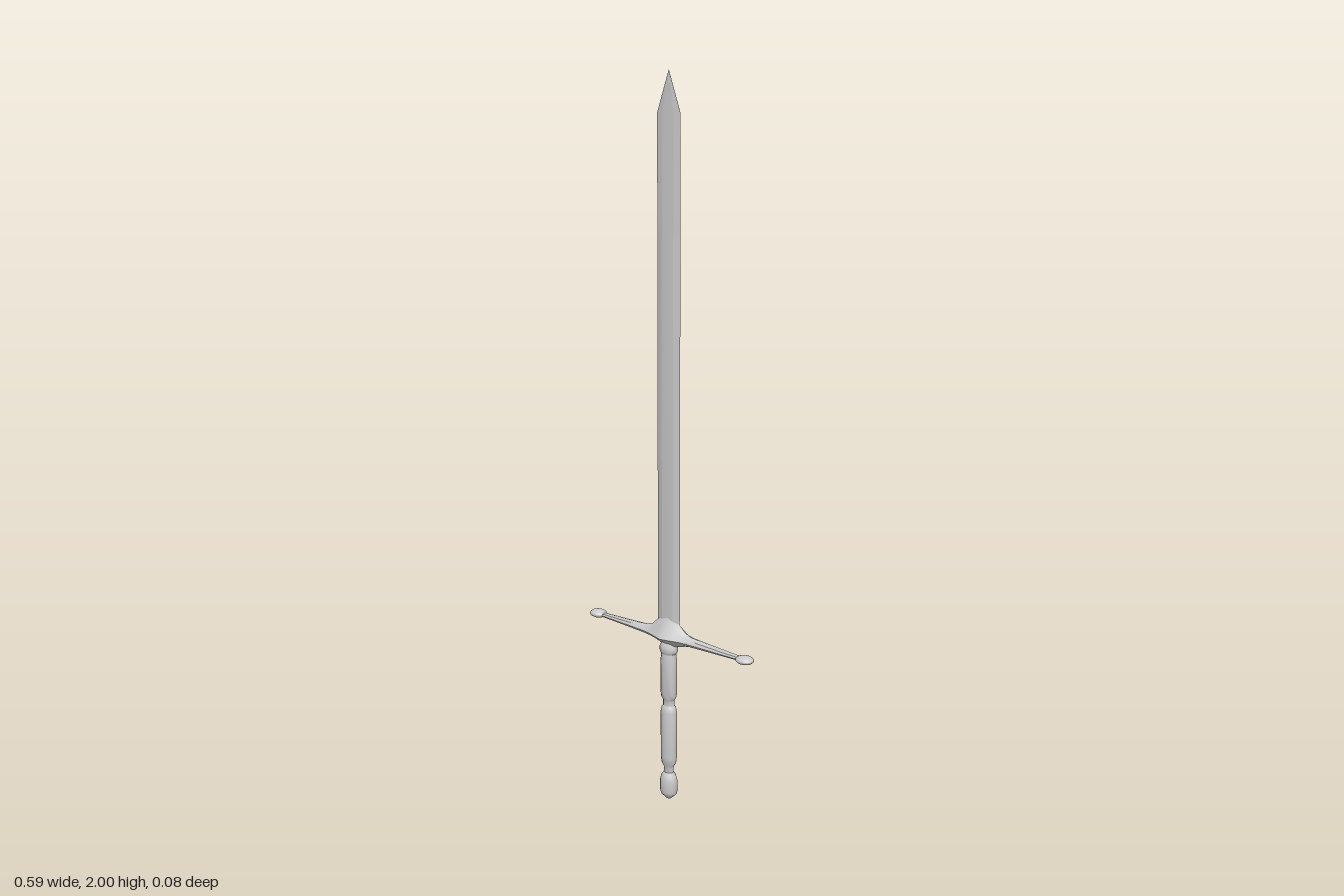
import * as THREE from 'three';
import { toCreasedNormals } from 'three/addons/utils/BufferGeometryUtils.js';

const material = new THREE.MeshStandardMaterial({ color: 0xcccccc });

// Skin a list of equal-length rings of [x, y, z]; both ends are capped.
function loft(rings, crease) {
  const n = rings[0].length, index = [];
  for (let r = 0; r < rings.length - 1; r++) {
    for (let i = 0; i < n; i++) {
      const a = r * n + i, b = r * n + (i + 1) % n;
      index.push(a, b, a + n, b, b + n, a + n);
    }
  }
  const last = (rings.length - 1) * n;
  for (let i = 1; i < n - 1; i++) {
    index.push(0, i + 1, i, last, last + i, last + i + 1);
  }
  const geometry = new THREE.BufferGeometry();
  geometry.setAttribute('position', new THREE.Float32BufferAttribute(rings.flat(2), 3));
  geometry.setIndex(index);
  return toCreasedNormals(geometry, crease);
}

function part(name, geometry) {
  const mesh = new THREE.Mesh(geometry, material);
  mesh.name = name;
  return mesh;
}

// Flat blade: sharp edges, bevels and a slight central ridge.
function bladeGeometry() {
  // [y, half width, half thickness]
  const stations = [
    [0.47, 0.04, 0.0075], [1.57, 0.04, 0.0065], [1.6, 0.04, 0.005],
    [1.893, 0.04, 0.004], [2, 0.0005, 0.0005],
  ];
  return loft(stations.map(([y, w, t]) => [
    [w, y, 0], [w * 0.5, y, -t * 0.85], [0, y, -t], [-w * 0.5, y, -t * 0.85],
    [-w, y, 0], [-w * 0.5, y, t * 0.85], [0, y, t], [w * 0.5, y, t * 0.85],
  ]), 0.12);
}

// Crossguard: a tall diamond in the middle flowing into slim, rounded arms.
function guardGeometry() {
  // [x, top, bottom, half depth, fullness of the corners]
  const half = [
    [0, 0.555, 0.457, 0.038, 0.5], [0.02, 0.545, 0.459, 0.033, 0.5],
    [0.04, 0.528, 0.465, 0.027, 0.53], [0.06, 0.51, 0.471, 0.0215, 0.58],
    [0.08, 0.503, 0.475, 0.0185, 0.64], [0.12, 0.499, 0.478, 0.016, 0.7],
    [0.18, 0.496, 0.48, 0.0135, 0.7], [0.26, 0.493, 0.482, 0.0095, 0.7],
  ];
  const mirrored = half.slice(1).reverse().map(([x, ...rest]) => [-x, ...rest]);
  const mid = 0.488;
  return loft([...mirrored, ...half].map(([x, top, bottom, d, k]) => {
    const up = mid + (top - mid) * k, down = mid + (bottom - mid) * k;
    return [
      [x, top, 0], [x, up, d * k], [x, mid, d], [x, down, d * k],
      [x, bottom, 0], [x, down, -d * k], [x, mid, -d], [x, up, -d * k],
    ];
  }), 0.6);
}

// Turned parts, slightly flattened front to back.
function turned(points, depth) {
  const profile = points.map(([r, y]) => new THREE.Vector2(r, y));
  const geometry = new THREE.LatheGeometry(profile, 12);
  geometry.scale(1, 1, depth);
  return toCreasedNormals(geometry, 0.7);
}

export function createModel() {
  const sword = new THREE.Group();
  sword.name = 'sword';
  sword.add(part('blade', bladeGeometry()), part('crossguard', guardGeometry()));

  // Flattened knobs at the guard ends
  for (const side of [-1, 1]) {
    const knob = part(side > 0 ? 'leftKnob' : 'rightKnob', new THREE.SphereGeometry(1, 20, 12));
    knob.scale.set(0.026, 0.011, 0.0225);
    knob.position.set(side * 0.269, 0.488, 0);
    sword.add(knob);
  }

  // Collar under the guard
  sword.add(part('collar', turned([
    [0, 0.438], [0.023, 0.438], [0.027, 0.445], [0.027, 0.458], [0.02, 0.472], [0, 0.472],
  ], 0.85)));

  // Two-section grip with a waisted ring
  sword.add(part('grip', turned([
    [0, 0.075], [0.015, 0.078], [0.015, 0.1], [0.022, 0.112], [0.0245, 0.13],
    [0.0245, 0.265], [0.022, 0.278], [0.017, 0.284], [0.017, 0.3], [0.023, 0.31],
    [0.0245, 0.32], [0.0245, 0.42], [0.022, 0.442], [0, 0.442],
  ], 0.82)));

  // Pommel with a pointed base
  sword.add(part('pommel', turned([
    [0, 0], [0.008, 0.004], [0.024, 0.019], [0.026, 0.026],
    [0.026, 0.06], [0.022, 0.074], [0.015, 0.084], [0, 0.084],
  ], 0.85)));

  return sword;
}
